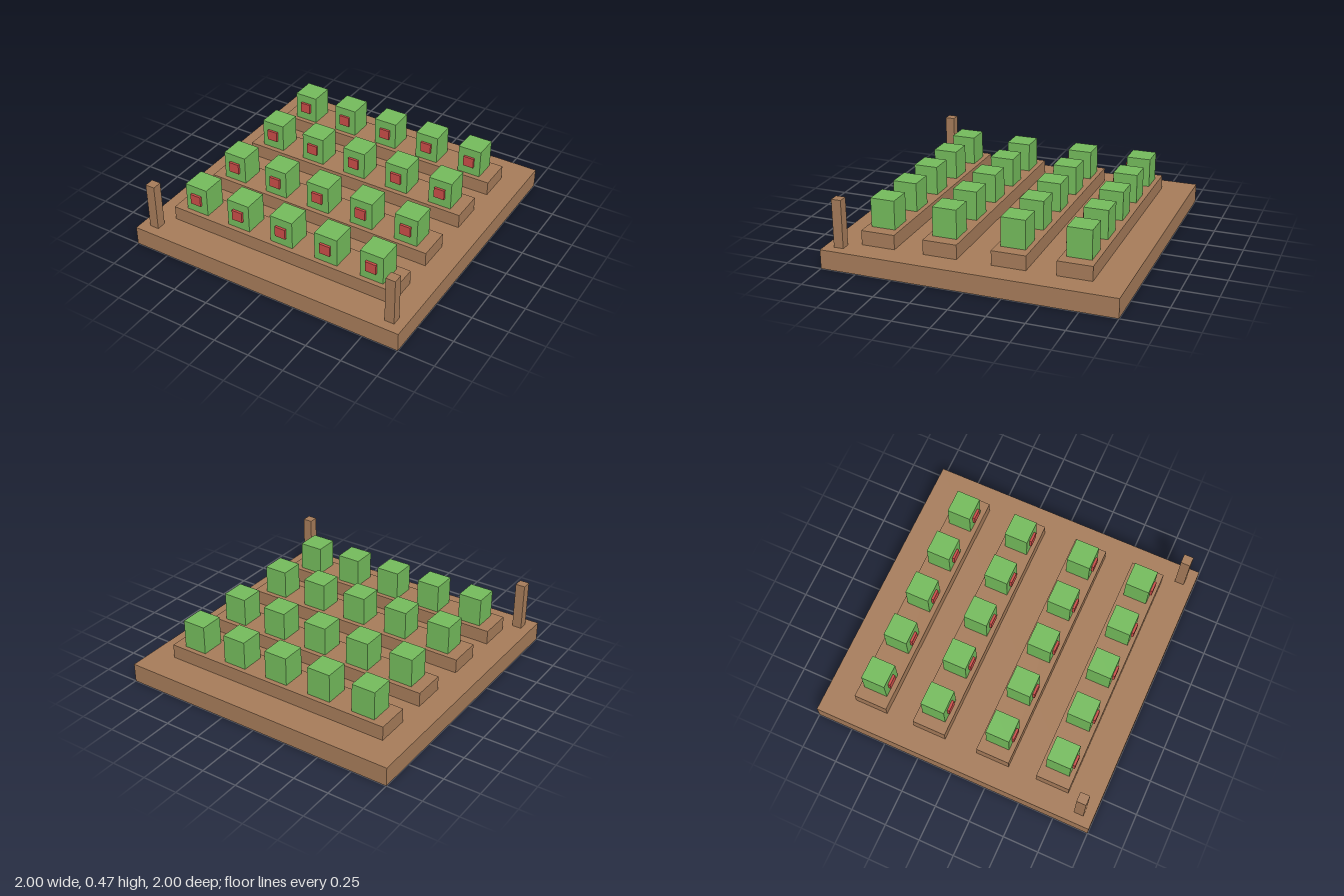
import * as THREE from 'three';

export function createModel() {
  const garden = new THREE.Group();
  garden.name = 'gardenPlot';

  const makeMaterial = (name, color) => {
    const m = new THREE.MeshStandardMaterial({ color });
    m.name = name;
    return m;
  };
  const soil = makeMaterial('soilBrown', 0xa57b59);
  const leaf = makeMaterial('leafGreen', 0x73ba5b);
  const fruitRed = makeMaterial('fruitRed', 0xc94c47);
  soil.side = THREE.DoubleSide;

  // Box standing on height y
  function block(parent, name, material, [w, h, d], [x, y, z]) {
    const mesh = new THREE.Mesh(new THREE.BoxGeometry(w, h, d), material);
    mesh.name = name;
    mesh.position.set(x, y + h / 2, z);
    parent.add(mesh);
    return mesh;
  }

  const baseTop = 0.1333;
  const bedTop = 0.2333;

  // Hollow tray, open underneath: leave out the bottom face
  const tray = block(garden, 'baseTray', soil, [2, baseTop, 2], [0, 0, 0]);
  const index = Array.from(tray.geometry.index.array);
  index.splice(18, 6);
  tray.geometry.setIndex(index);
  tray.geometry.clearGroups();

  // Raised beds, each with a row of fruiting bushes
  for (const z of [-0.6667, -0.2333, 0.2333, 0.6667]) {
    const row = new THREE.Group();
    row.name = 'plantRow';
    garden.add(row);
    block(row, 'raisedBed', soil, [1.6667, bedTop - baseTop, 0.2333], [0, baseTop, z]);
    for (let i = -2; i <= 2; i++) {
      const x = i / 3;
      block(row, 'bush', leaf, [0.1667, 0.2, 0.1667], [x, bedTop, z]);
      block(row, 'fruit', fruitRed, [0.0767, 0.0733, 0.0333], [x, 0.3, z + 0.0833]);
    }
  }

  // Front corner posts
  for (const side of [-1, 1]) {
    block(garden, side > 0 ? 'leftPost' : 'rightPost', soil,
      [0.0667, 0.3333, 0.0667], [side * 0.9, baseTop, 0.9]);
  }

  return garden;
}
